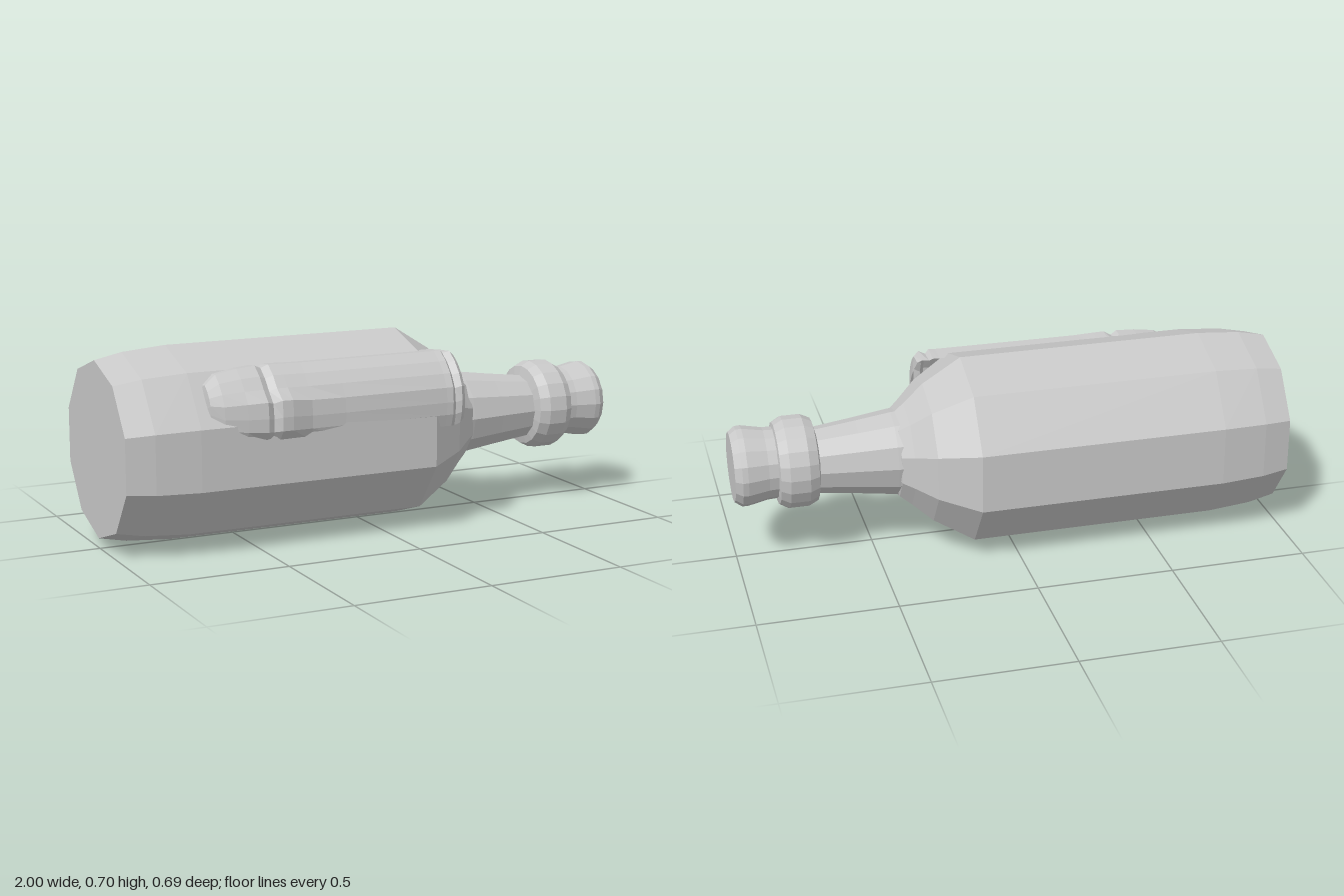
import * as THREE from 'three';

const glass = new THREE.MeshStandardMaterial({ color: 0xc8c8c8, flatShading: true });
glass.name = 'paleGrey';
const plate = new THREE.MeshStandardMaterial({ color: 0xc8c8c8, flatShading: true, side: THREE.DoubleSide });
plate.name = 'paleGreyPanel';

// Turned part lying along x; profile is a list of [x, radius]
function turned(name, profile, sides, y) {
  const pts = profile.map(([x, r]) => new THREE.Vector2(r, x));
  const geo = new THREE.LatheGeometry(pts, sides, Math.PI / 2);
  geo.rotateZ(-Math.PI / 2);
  const mesh = new THREE.Mesh(geo, glass);
  mesh.name = name;
  mesh.position.set(0, y, -0.01);
  return mesh;
}

// Raised label panel wrapped on the upper front of the body
function labelPanel() {
  const angles = [62, 52, 44, 36, 28, 20, 13, 6];
  const radii = [0.325, 0.372, 0.377, 0.378, 0.374, 0.357, 0.342, 0.322];
  // [x, share of the raised height, share of the angular width, extra bulge at the lower edge]
  const stations = [
    [-0.705, 0, 0.5, 0], [-0.695, 0.75, 0.55, 0], [-0.65, 0.9, 0.85, 0],
    [-0.57, 1, 0.95, 0.008], [-0.5, 1.02, 1, 0.018], [-0.475, 0.82, 1, 0.015],
    [-0.45, 1.03, 1, 0.025], [-0.41, 1.02, 1, 0.024], [-0.33, 0.98, 1, 0.006],
    [-0.2, 0.98, 1, 0], [0.2, 1, 1, 0], [0.225, 1.03, 1, 0],
    [0.24, 0.8, 1, 0], [0.262, 1, 0.95, 0], [0.28, 0.8, 0.85, 0], [0.29, 0, 0.6, 0],
  ];
  const pos = [], idx = [], n = angles.length;
  stations.forEach(([x, h, w, bulge], i) => {
    angles.forEach((deg, j) => {
      const a = THREE.MathUtils.degToRad(34 + (deg - 34) * w);
      const low = j > 3 && j < n - 1 ? bulge : 0;
      const r = 0.3 + (radii[j] - 0.3) * h + low;
      pos.push(x, 0.35 + r * Math.sin(a), -0.01 + r * Math.cos(a));
      if (i && j) {
        const d = i * n + j, c = d - 1, b = d - n, a0 = b - 1;
        idx.push(a0, b, d, a0, d, c);
      }
    });
  });
  const geo = new THREE.BufferGeometry();
  geo.setAttribute('position', new THREE.Float32BufferAttribute(pos, 3));
  geo.setIndex(idx);
  geo.computeVertexNormals();
  const mesh = new THREE.Mesh(geo, plate);
  mesh.name = 'labelPanel';
  return mesh;
}

export function createModel() {
  const bottle = new THREE.Group();
  bottle.name = 'bottle';

  // Ten-sided body with softened base and sloped shoulder
  bottle.add(turned('body', [
    [-1, 0], [-1, 0.316], [-0.9, 0.337], [-0.74, 0.35], [0.16, 0.35],
    [0.3, 0.262], [0.37, 0.195], [0.41, 0.16], [0.43, 0.1],
  ], 10, 0.35));

  // Tapering neck
  bottle.add(turned('neck', [[0.36, 0.16], [0.42, 0.156], [0.55, 0.138], [0.72, 0.117]], 12, 0.358));

  // Collar ring
  bottle.add(turned('collar', [
    [0.695, 0.11], [0.705, 0.15], [0.74, 0.167], [0.81, 0.167], [0.842, 0.148], [0.848, 0.12],
  ], 20, 0.363));

  // Mouth with closed end
  bottle.add(turned('mouth', [
    [0.83, 0.128], [0.88, 0.13], [0.955, 0.145], [0.975, 0.144], [1, 0.126], [1, 0],
  ], 16, 0.367));

  bottle.add(labelPanel());
  return bottle;
}
